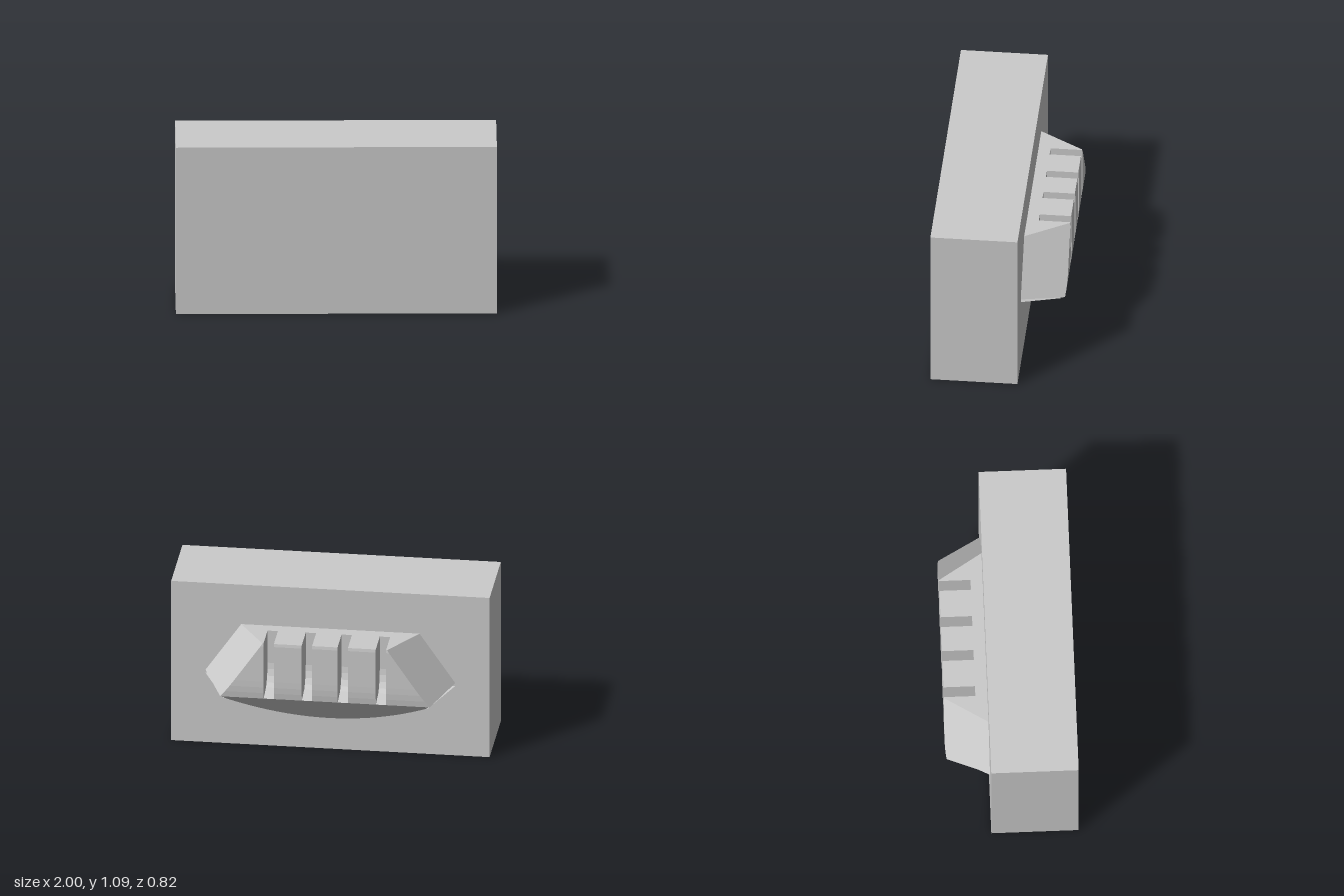
import * as THREE from 'three';
import { ConvexGeometry } from 'three/addons/geometries/ConvexGeometry.js';

const material = new THREE.MeshStandardMaterial({ color: 0xcccccc, flatShading: true });
const WALL = 0.135; // depth (-z) of the block's back face

// Point from x, height and depth behind the origin
const point = (x, y, depth) => new THREE.Vector3(x, y, -depth);

// Half-width of the raised body, given by its slanted side planes
const halfWidth = (y, d) => 0.56 + 0.69 * (0.82 - y) - 0.62 * (d - WALL);

// Body profile as [depth, height]
const profile = [
  [WALL, 0.495], [WALL, 0.82], [0.406, 0.82], [0.409, 0.8], [0.41, 0.56],
  [0.409, 0.52], [0.406, 0.48], [0.4, 0.44],
];

// Groove floor as [depth, height], sweeping out at the bottom
const grooveFloor = [
  [WALL, 0.44], [WALL, 0.82], [0.21, 0.82], [0.21, 0.6], [0.216, 0.56], [0.23, 0.52],
  [0.255, 0.485], [0.29, 0.46], [0.33, 0.445], [0.385, 0.44],
];

// Curved keel: one arc on the wall and one on the slanted rim
function keelPoints(bottom, wallRise, rimRise, rimWidth, rimOffset) {
  const points = [];
  const steps = 24;
  for (let i = 0; i <= steps; i++) {
    const t = (i / steps) * 2 - 1;
    const rimY = bottom + rimRise * t * t;
    points.push(point(0.785 * t, bottom + wallRise * t * t, WALL));
    points.push(point(rimWidth * t, rimY, rimY - rimOffset));
  }
  return points;
}

export function createModel() {
  const model = new THREE.Group();
  const add = (name, geometry) => {
    const mesh = new THREE.Mesh(geometry, material);
    mesh.name = name;
    model.add(mesh);
    return mesh;
  };

  // Main block
  add('block', new THREE.BoxGeometry(2, 1.09, 0.545)).position.set(0, 0.545, 0.1375);

  // Upright ribs between the grooves
  for (const [a, b] of [[-0.32, -0.145], [-0.08, 0.08], [0.145, 0.32]]) {
    add('rib', new ConvexGeometry(profile.flatMap(([d, y]) => [point(a, y, d), point(b, y, d)])));
  }

  // Slanted ends of the raised body
  for (const side of [-1, 1]) {
    add('bodyEnd', new ConvexGeometry(profile.flatMap(([d, y]) => [
      point(side * 0.385, y, d), point(side * halfWidth(y, d), y, d),
    ])));
  }

  // Recessed groove floors
  const floorShape = new THREE.Shape(grooveFloor.map(([d, y]) => new THREE.Vector2(d, y)));
  for (const x of [-0.3525, -0.1125, 0.1125, 0.3525]) {
    const floor = new THREE.ExtrudeGeometry(floorShape, { depth: 0.065, bevelEnabled: false });
    floor.rotateY(Math.PI / 2); // profile depth to -z, extrusion to +x
    floor.translate(x - 0.0325, 0, 0);
    add('grooveFloor', floor);
  }

  // Sloping underside, and the skirt set just below it
  add('underside', new ConvexGeometry(keelPoints(0.25, 0.245, 0.19, 0.655, 0.04)));
  add('skirt', new ConvexGeometry(keelPoints(0.23, 0.245, 0.19, 0.645, 0.05)));

  return model;
}
